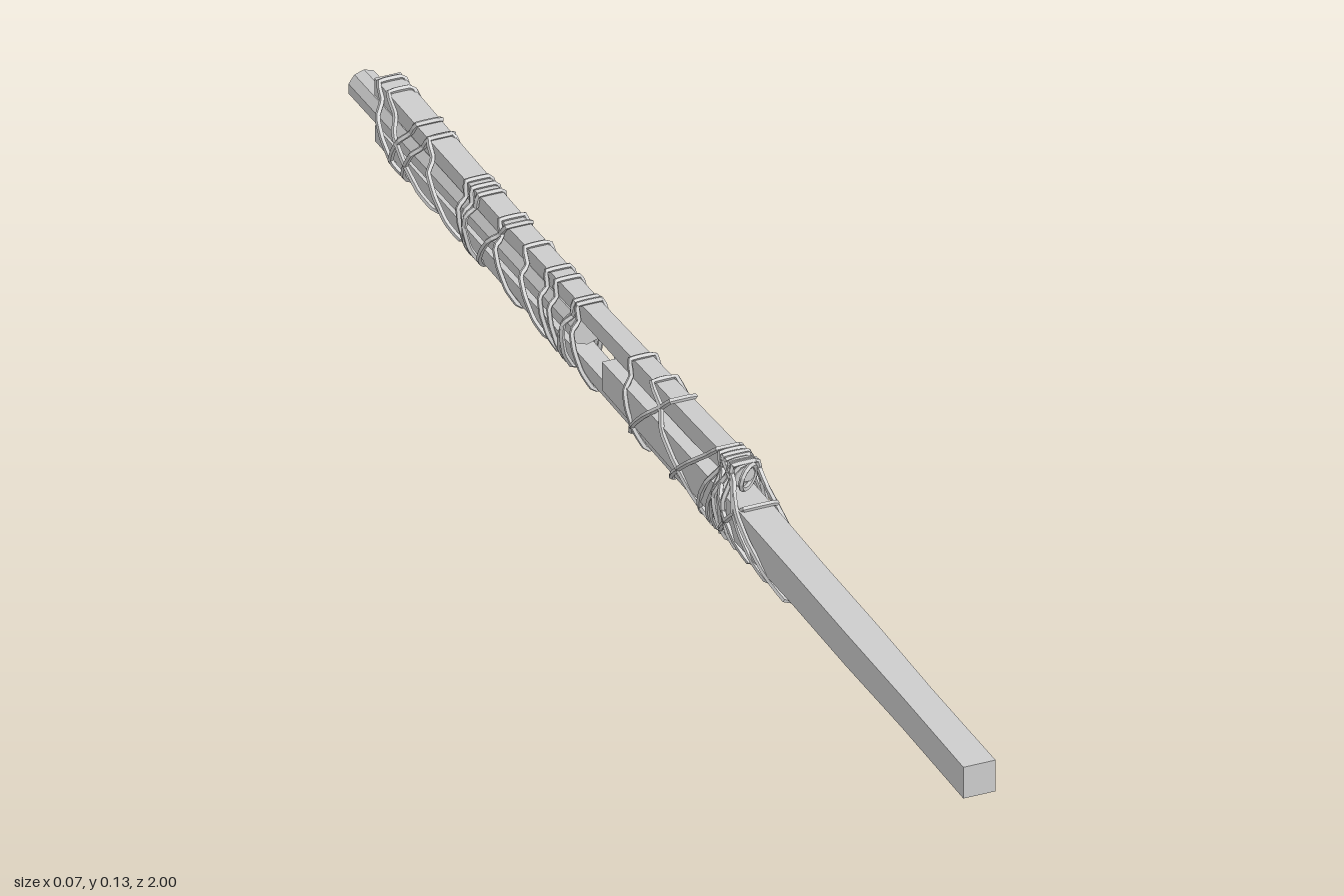
import * as THREE from 'three';

const material = new THREE.MeshStandardMaterial({ color: 0xcccccc, flatShading: true });

// Sections run from front to back: [z, left x, right x, bottom y, top y]
const shaftSections = [
  [1, -0.029, 0.018, 0.026, 0.074], [0.8, -0.028, 0.017, 0.029, 0.077], [0.62, -0.029, 0.019, 0.03, 0.08],
  [0.45, -0.028, 0.019, 0.032, 0.082], [0.28, -0.03, 0.019, 0.034, 0.087], [0.1, -0.03, 0.018, 0.037, 0.088],
  [-0.16, -0.032, 0.014, 0.044, 0.087]];
const upperSections = [
  [0.23, -0.013, 0.017, 0.1, 0.127], [0.1, -0.013, 0.016, 0.092, 0.122], [-0.08, -0.012, 0.016, 0.088, 0.117],
  [-0.25, -0.011, 0.017, 0.086, 0.111], [-0.5, -0.014, 0.018, 0.085, 0.109], [-0.72, -0.016, 0.019, 0.088, 0.112],
  [-0.925, -0.018, 0.02, 0.091, 0.117]];
const lowerSections = [
  [0.465, -0.014, 0.016, 0.014, 0.032], [0.3, -0.015, 0.017, 0.01, 0.034], [0.1, -0.014, 0.018, 0.008, 0.035],
  [-0.2, -0.014, 0.017, 0.012, 0.035], [-0.5, -0.016, 0.017, 0.014, 0.038], [-0.925, -0.017, 0.018, 0.02, 0.044]];

function add(group, name, geometry) {
  const mesh = new THREE.Mesh(geometry, material);
  mesh.name = name;
  group.add(mesh);
  return mesh;
}

// Hewn timber: a box whose rings of corners are moved to the sections
function timber(sections) {
  const n = sections.length - 1;
  const geometry = new THREE.BoxGeometry(1, 1, 1, 1, 1, n);
  const p = geometry.attributes.position;
  for (let i = 0; i < p.count; i++) {
    const [z, x0, x1, y0, y1] = sections[Math.round((0.5 - p.getZ(i)) * n)];
    p.setXYZ(i, p.getX(i) < 0 ? x0 : x1, p.getY(i) < 0 ? y0 : y1, z);
  }
  geometry.computeVertexNormals();
  return geometry;
}

// Value of one section column at any z
function at(sections, z, column) {
  let i = 0;
  while (i < sections.length - 2 && z < sections[i + 1][0]) i++;
  const a = sections[i], b = sections[i + 1];
  const t = THREE.MathUtils.clamp((z - a[0]) / (b[0] - a[0]), 0, 1);
  return THREE.MathUtils.lerp(a[column], b[column], t);
}

// Cord loop hugging the bundle, leaning from bottomZ to topZ
function cordLoop(bottomZ, topZ, radius = 0.004) {
  const top = at(upperSections, topZ, 4) + radius * 0.7;
  const low = at(lowerSections, bottomZ, 3) - radius * 0.7;
  const overSplint = topZ < 0.24;
  const roof = overSplint ? top : at(shaftSections, topZ, 4) + radius * 0.7;
  const half = overSplint ? 0.018 : 0.024;
  const outline = [
    [-half, roof], [half, roof], [half + 0.004, roof - 0.022], [0.029, 0.065], [0.024, 0.04],
    [0.019, low], [-0.016, low], [-0.029, 0.033], [-0.034, 0.06], [-0.033, 0.083], [-half - 0.002, roof - 0.02]];
  const points = outline.map(([x, y]) => {
    const t = (y - low) / (roof - low);
    return new THREE.Vector3(x, y, THREE.MathUtils.lerp(bottomZ, topZ, t));
  });
  const curve = new THREE.CatmullRomCurve3(points, true, 'catmullrom', 0.15);
  return new THREE.TubeGeometry(curve, 44, radius, 5, true);
}

export function createModel() {
  const group = new THREE.Group();

  // Two halves of the broken pole
  add(group, 'squareShaft', timber(shaftSections));
  const rod = add(group, 'roundRod', new THREE.CylinderGeometry(0.024, 0.025, 0.72, 10));
  rod.rotation.x = -Math.PI / 2 - 0.008;
  rod.position.set(0.001, 0.065, -0.64);

  // Splints bridging the break
  add(group, 'upperSplint', timber(upperSections));
  add(group, 'lowerSplint', timber(lowerSections));

  // Cord lashings, as [z at bottom, z at top]
  const lashings = {
    frontLashing: [[0.4, 0.2], [0.34, 0.22], [0.28, 0.19], [0.24, 0.23], [0.21, 0.2], [0.18, 0.225], [0.19, 0.28], [0.16, 0.23]],
    middleLashing: [[0.17, -0.03], [0.13, 0.21], [-0.1, 0.03], [-0.05, -0.1], [0.03, 0.18]],
    breakLashing: [[-0.22, -0.27], [-0.29, -0.28], [-0.31, -0.27], [-0.3, -0.34], [-0.33, -0.37], [-0.37, -0.44]],
    rodLashing: [[-0.46, -0.52], [-0.58, -0.5], [-0.59, -0.61], [-0.6, -0.63], [-0.61, -0.59], [-0.65, -0.75]],
    endLashing: [[-0.73, -0.88], [-0.82, -0.75], [-0.83, -0.91], [-0.86, -0.79]],
  };
  for (const [name, loops] of Object.entries(lashings)) {
    const lashing = new THREE.Group();
    lashing.name = name;
    for (const [bottomZ, topZ] of loops) add(lashing, 'cord', cordLoop(bottomZ, topZ));
    group.add(lashing);
  }

  // Knot over the front end of the upper splint
  const knot = new THREE.Group();
  knot.name = 'knot';
  for (const turn of [-0.5, 0.1, 0.6]) {
    const ring = add(knot, 'knotTurn', new THREE.TorusGeometry(0.018, 0.004, 5, 12));
    ring.rotation.set(0.2, turn, 0);
    ring.position.set(0.002, 0.111, 0.225 + turn * 0.02);
  }
  group.add(knot);

  // Rest the lowest cord on the ground
  const box = new THREE.Box3().setFromObject(group);
  group.position.y = -box.min.y;
  return group;
}
